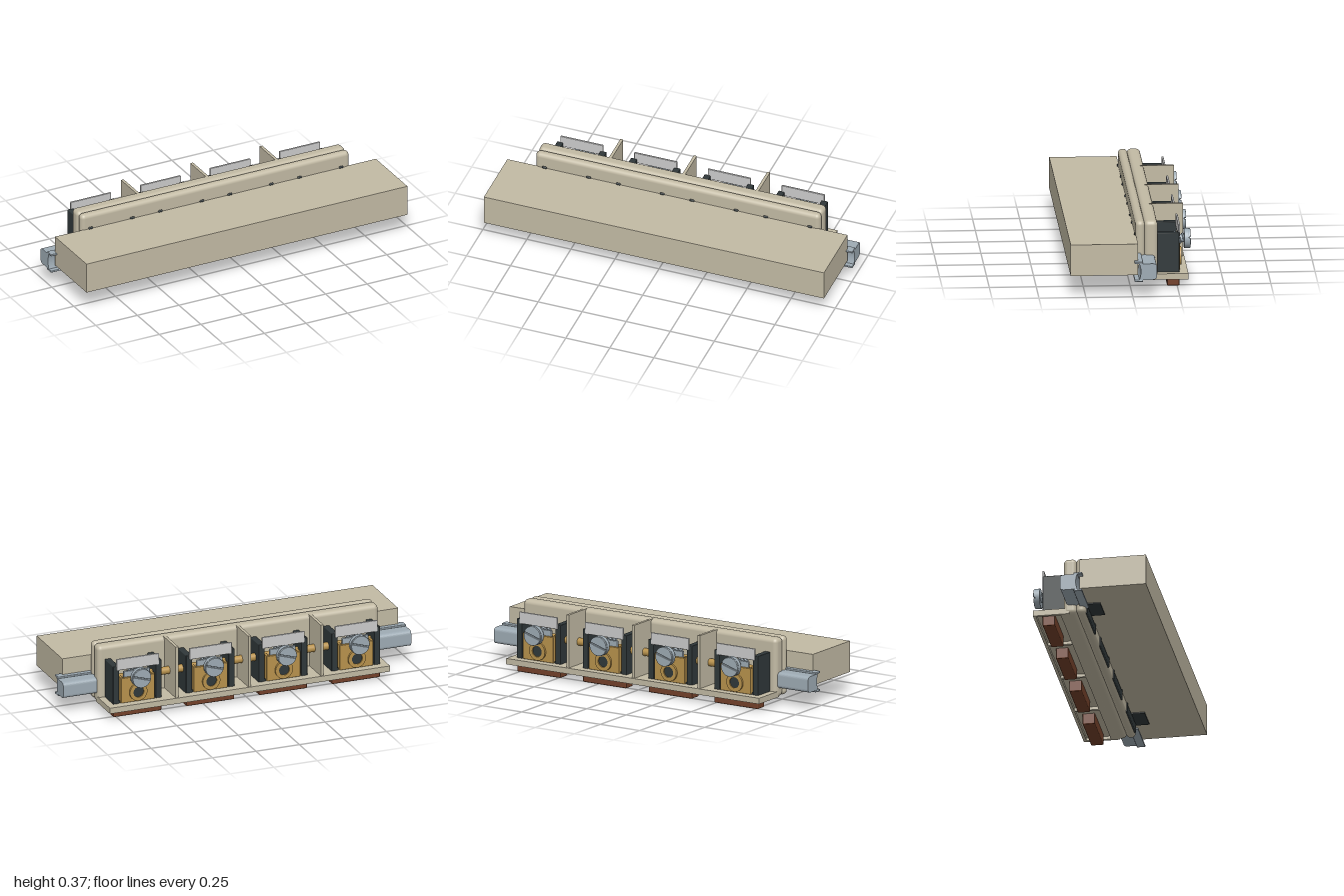
import * as THREE from 'three';
import { RoundedBoxGeometry } from 'three/addons/geometries/RoundedBoxGeometry.js';

const mat = (color) => new THREE.MeshStandardMaterial({ color });
const cream = mat(0xc2baa4), dark = mat(0x30383a), brown = mat(0x74412a);
const brass = mat(0xb8924c), steel = mat(0x9eabb4), pale = mat(0xbfc2c2);

function add(parent, name, geometry, material, x = 0, y = 0, z = 0) {
  const mesh = new THREE.Mesh(geometry, material);
  mesh.name = name;
  mesh.position.set(x, y, z);
  parent.add(mesh);
  return mesh;
}

// Box given by its limits on each axis, optionally with rounded edges
function block(parent, name, material, [x0, x1], [y0, y1], [z0, z1], r = 0) {
  const size = [x1 - x0, y1 - y0, z1 - z0];
  const geometry = r ? new RoundedBoxGeometry(...size, 4, r) : new THREE.BoxGeometry(...size);
  add(parent, name, geometry, material, (x0 + x1) / 2, (y0 + y1) / 2, (z0 + z1) / 2);
}

// Slotted screw along z, head towards the back
function makeScrew() {
  const screw = new THREE.Group();
  screw.name = 'screw';
  const rod = (name, r, z0, z1) => {
    const g = new THREE.CylinderGeometry(r, r, z1 - z0, 28).rotateX(Math.PI / 2);
    add(screw, name, g, steel, 0, 0, (z0 + z1) / 2);
  };
  rod('screwShank', 0.021, -0.3, -0.17);
  rod('screwHead', 0.054, -0.317, -0.294);

  // Two raised segments leave the slot between them
  const segment = new THREE.Shape();
  segment.absarc(0, 0, 0.049, 0.14, Math.PI - 0.14, false);
  const cap = new THREE.ExtrudeGeometry(segment, {
    depth: 0.006, bevelSize: 0.004, bevelThickness: 0.003, bevelSegments: 2, curveSegments: 20,
  });
  for (const turn of [0, Math.PI]) {
    add(screw, 'screwHeadHalf', cap, steel, 0, 0, -0.325).rotation.z = turn + 0.3;
  }

  const points = [];
  for (let i = 0; i <= 80; i++) {
    const a = (i / 16) * Math.PI * 2;
    points.push(new THREE.Vector3(Math.cos(a) * 0.024, Math.sin(a) * 0.024, -0.292 + i * 0.0014));
  }
  const thread = new THREE.TubeGeometry(new THREE.CatmullRomCurve3(points), 100, 0.0055, 6);
  add(screw, 'screwThread', thread, steel);
  return screw;
}

// One terminal: dark housing, brass clamp, screw, marking plate and foot
function makeTerminal(x) {
  const t = new THREE.Group();
  t.name = 'terminal';
  t.position.x = x;
  for (const s of [-1, 1]) {
    const side = (a, b) => (s > 0 ? [a, b] : [-b, -a]);
    block(t, 'housingCheek', dark, side(0.105, 0.14), [0.07, 0.29], [-0.262, -0.14], 0.004);
    block(t, 'housingClip', dark, side(0.112, 0.138), [0.055, 0.29], [-0.05, -0.02], 0.006);
    block(t, 'clampSide', brass, side(0.083, 0.097), [0.078, 0.22], [-0.262, -0.18]);
  }
  block(t, 'housingFloor', dark, [-0.14, 0.14], [0.068, 0.085], [-0.255, -0.14]);
  block(t, 'housingFront', dark, [-0.138, 0.138], [0.055, 0.105], [-0.05, -0.02], 0.006);

  // Brass contact with a round wire eyelet
  block(t, 'contactPlate', brass, [-0.097, 0.097], [0.076, 0.218], [-0.268, -0.252], 0.003);
  const ring = new THREE.Shape();
  ring.absarc(0, 0, 0.05, 0, Math.PI * 2, false);
  const hole = new THREE.Path();
  hole.absarc(0, 0, 0.03, 0, Math.PI * 2, true);
  ring.holes.push(hole);
  const eyelet = new THREE.ExtrudeGeometry(ring, { depth: 0.012, bevelEnabled: false, curveSegments: 20 });
  add(t, 'wireEyelet', eyelet, brass, 0, 0.131, -0.279);
  const plug = new THREE.CylinderGeometry(0.03, 0.03, 0.006, 24).rotateX(Math.PI / 2);
  add(t, 'eyeletCore', plug, dark, 0, 0.131, -0.27);

  block(t, 'pressurePlate', steel, [-0.075, 0.075], [0.185, 0.25], [-0.255, -0.24], 0.004);
  block(t, 'markingPlate', pale, [-0.122, 0.122], [0.265, 0.33], [-0.267, -0.256], 0.004);

  const screw = makeScrew();
  screw.position.y = 0.225;
  t.add(screw);
  block(t, 'footPad', brown, [-0.138, 0.138], [0, 0.065], [-0.262, -0.196], 0.005);
  return t;
}

// Metal end bracket between two x limits: curved cover with two flanges
function makeBracket(name, x0, x1) {
  const b = new THREE.Group();
  b.name = name;
  const s = new THREE.Shape();
  s.moveTo(-0.035, 0.092);
  s.quadraticCurveTo(-0.052, 0.136, -0.035, 0.18);
  s.lineTo(-0.105, 0.18);
  s.quadraticCurveTo(-0.129, 0.18, -0.129, 0.16);
  s.lineTo(-0.129, 0.112);
  s.quadraticCurveTo(-0.129, 0.092, -0.105, 0.092);
  const cover = new THREE.ExtrudeGeometry(s, { depth: x1 - x0, bevelEnabled: false, curveSegments: 10 });
  cover.rotateY(-Math.PI / 2); // profile x becomes z, depth runs along -x
  add(b, 'bracketCover', cover, steel, x1);
  for (const y of [0.081, 0.179]) {
    block(b, 'bracketFlange', steel, [x0, x1], [y, y + 0.011], [-0.055, -0.01], 0.003);
  }
  return b;
}

export function createModel() {
  const model = new THREE.Group();
  model.name = 'terminalBlock';

  // Long front body and the two rounded layers behind it
  block(model, 'frontBody', cream, [-0.965, 0.965], [0.11, 0.28], [-0.03, 0.329]);
  block(model, 'frontFrame', cream, [-0.807, 0.807], [0.042, 0.365], [-0.076, -0.026], 0.024);
  block(model, 'rearFrame', cream, [-0.807, 0.807], [0.042, 0.365], [-0.144, -0.073], 0.024);

  // Shelf with a rim and ribs on its underside
  block(model, 'shelf', cream, [-0.805, 0.805], [0.06, 0.075], [-0.308, -0.113]);
  block(model, 'shelfRearRim', cream, [-0.805, 0.805], [0.043, 0.062], [-0.308, -0.292]);
  block(model, 'shelfFrontRim', cream, [-0.805, 0.805], [0.043, 0.062], [-0.16, -0.113]);
  for (const x of [-0.797, -0.417, 0, 0.417, 0.797]) {
    block(model, 'shelfRib', cream, [x - 0.008, x + 0.008], [0.043, 0.062], [-0.3, -0.14]);
  }

  // Dividers between the terminals
  for (const x of [-0.417, 0, 0.417]) {
    block(model, 'divider', cream, [x - 0.008, x + 0.008], [0.06, 0.365], [-0.302, -0.11]);
  }

  for (const x of [-0.628, -0.209, 0.209, 0.628]) model.add(makeTerminal(x));

  // Brass bar joining all terminals
  const bar = new THREE.CylinderGeometry(0.021, 0.021, 1.47, 20).rotateZ(Math.PI / 2);
  add(model, 'connectingBar', bar, brass, 0, 0.2, -0.205);

  // End brackets and the tabs under the front body
  model.add(makeBracket('leftBracket', 0.77, 1), makeBracket('rightBracket', -1, -0.77));
  for (const x of [-0.7, 0.7]) {
    block(model, 'lowerTab', dark, [x - 0.075, x + 0.075], [0.104, 0.112], [-0.03, 0.05]);
  }
  return model;
}
